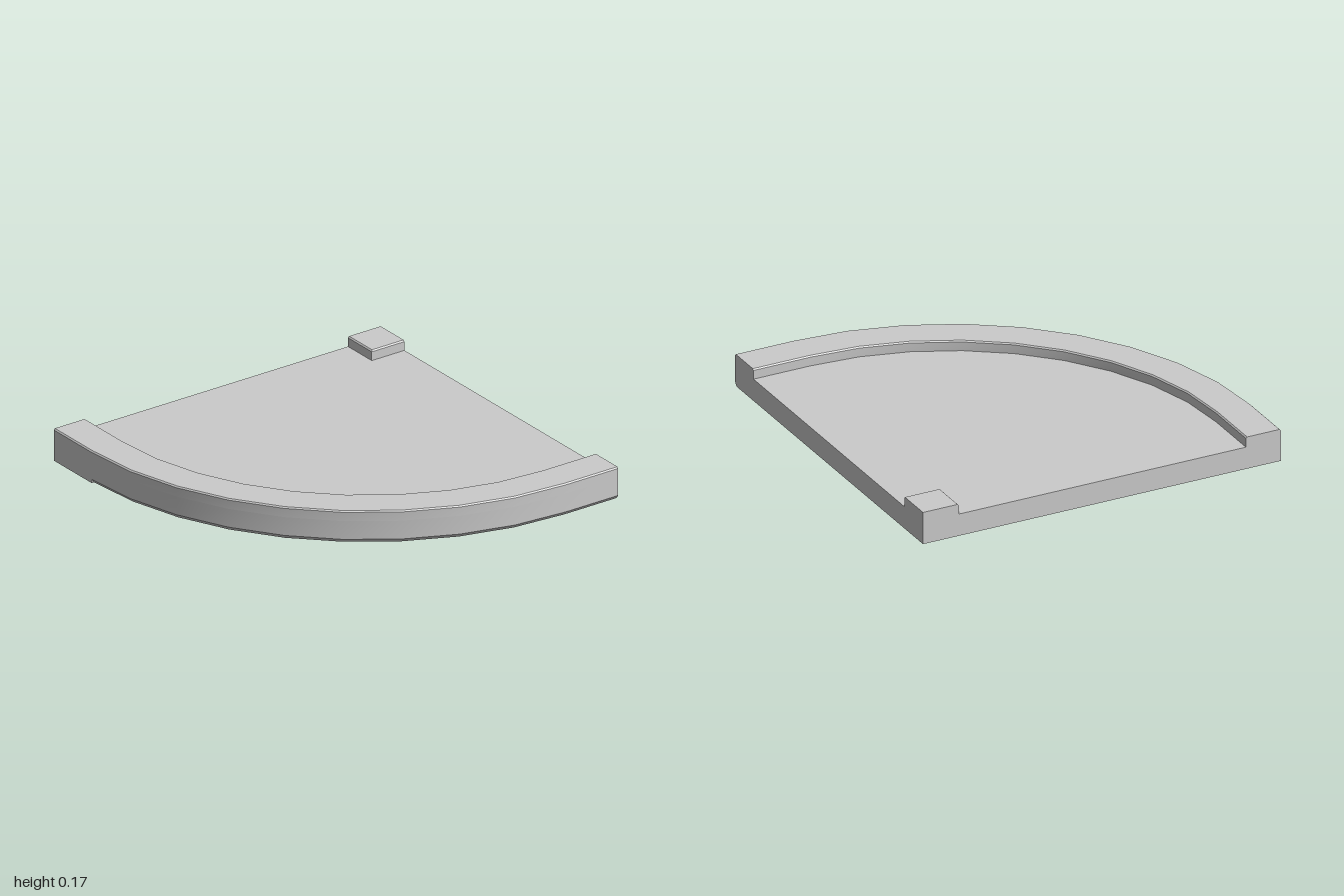
import * as THREE from 'three';
import { toCreasedNormals } from 'three/addons/utils/BufferGeometryUtils.js';

const C = 0.68;              // arc centre is (C, -C)
const R_OUT = 1.68, R_IN = 1.485;
const FLOOR = 0.12, TOP = 0.175, BEVEL = 0.007;

// Quarter curve from the back edge to the side edge, as [x, z] points.
// The inset narrows the curve; straightInset applies to the straight start.
function curve(radius, inset = 0, straightInset = inset) {
  const r = radius - inset, rs = radius - straightInset;
  const pts = [[C - rs, -1], [C - rs, -C]];
  for (let i = 0; i <= 9; i++) {
    const a = (i / 9) * Math.PI / 2;
    pts.push([C - r * Math.cos(a), -C + r * Math.sin(a)]);
  }
  pts.push([1, -C + r]);
  return pts;
}

// Solid through stacked outlines: layers of { y, loop }, all with equal point counts
function loft(layers) {
  const pos = [];
  const tri = (a, b, c) => {
    const area = b.clone().sub(a).cross(c.clone().sub(a)).length();
    if (area > 1e-9) for (const p of [a, b, c]) pos.push(p.x, p.y, p.z);
  };
  const rings = layers.map(({ y, loop }) => loop.map(([x, z]) => new THREE.Vector3(x, y, z)));
  const n = rings[0].length;
  for (let k = 0; k + 1 < rings.length; k++) {
    const lo = rings[k], hi = rings[k + 1];
    for (let i = 0; i < n; i++) {
      const j = (i + 1) % n;
      tri(lo[i], lo[j], hi[j]);
      tri(lo[i], hi[j], hi[i]);
    }
  }
  const cap = (ring, up) => {
    const flat = ring.map((p) => new THREE.Vector2(p.x, p.z));
    for (const [i, j, k] of THREE.ShapeUtils.triangulateShape(flat, [])) {
      const a = ring[i], b = ring[j], c = ring[k];
      const ny = b.clone().sub(a).cross(c.clone().sub(a)).y;
      if ((ny > 0) === up) tri(a, b, c);
      else tri(a, c, b);
    }
  };
  cap(rings[0], false);
  cap(rings[rings.length - 1], true);
  const geo = new THREE.BufferGeometry();
  geo.setAttribute('position', new THREE.Float32BufferAttribute(pos, 3));
  return toCreasedNormals(geo, 0.45);
}

export function createModel() {
  const group = new THREE.Group();
  group.name = 'curvedCornerSlab';
  const material = new THREE.MeshStandardMaterial({ color: 0xcccccc });
  const add = (name, layers) => {
    const mesh = new THREE.Mesh(loft(layers), material);
    mesh.name = name;
    group.add(mesh);
  };

  // Floor plate, chamfered under the arc but not under the straight start
  const plate = (inset) => [...curve(R_OUT, inset, 0), [1, -1]];
  add('floorPlate', [
    { y: 0, loop: plate(0.015) },
    { y: 0.02, loop: plate(0) },
    { y: FLOOR, loop: plate(0) },
  ]);

  // Raised rim with bevelled top edges
  const rim = (b) => [...curve(R_OUT, b), ...curve(R_IN, -b).reverse()];
  add('curvedRim', [
    { y: FLOOR, loop: rim(0) },
    { y: TOP - BEVEL, loop: rim(0) },
    { y: TOP, loop: rim(BEVEL) },
  ]);

  // Small square block in the inner corner, bevelled on its two inner edges
  const block = (b) => [[0.8 + b, -1], [0.8 + b, -0.8 - b], [1, -0.8 - b], [1, -1]];
  add('cornerBlock', [
    { y: FLOOR, loop: block(0) },
    { y: TOP - BEVEL, loop: block(0) },
    { y: TOP, loop: block(BEVEL) },
  ]);

  return group;
}
